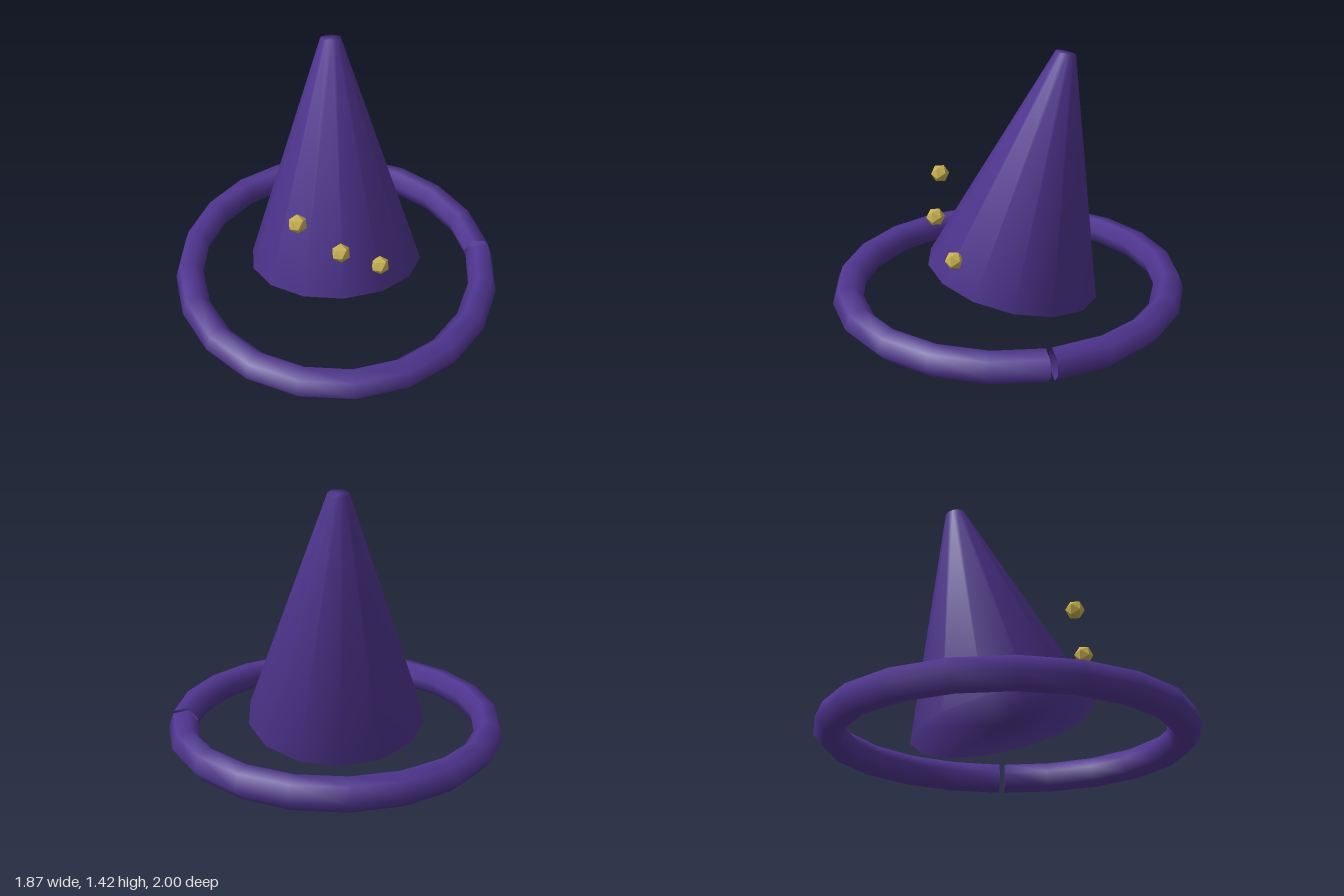
import * as THREE from 'three';
import { mergeVertices } from 'three/addons/utils/BufferGeometryUtils.js';

// Weld all corners so shading runs smoothly over every edge
function smooth(geometry) {
  geometry.deleteAttribute('normal');
  geometry.deleteAttribute('uv');
  const welded = mergeVertices(geometry, 1e-4);
  welded.computeVertexNormals();
  return welded;
}

export function createModel() {
  const group = new THREE.Group();
  const purple = new THREE.MeshStandardMaterial({ color: 0x4f3590, side: THREE.DoubleSide });
  const gold = new THREE.MeshStandardMaterial({ color: 0xc8b04c, flatShading: true });

  const add = (name, geometry, material, x, y, z) => {
    const mesh = new THREE.Mesh(geometry, material);
    mesh.name = name;
    mesh.position.set(x, y, z);
    group.add(mesh);
    return mesh;
  };

  // Cone leaning backwards, with a small blunt tip
  const cone = add('hatCone', smooth(new THREE.CylinderGeometry(0.056, 0.495, 1.306, 14, 1)),
    purple, 0, 0.772, -0.163);
  cone.rotation.x = -0.22;

  // Brim: six-sided tube swept round an oval, with a narrow split on the left
  const profile = [];
  for (let i = 0; i <= 6; i++) {
    const a = (i % 6) * Math.PI / 3 - 0.17;
    profile.push(new THREE.Vector2(0.885 + 0.084 * Math.cos(a), 0.084 * Math.sin(a)));
  }
  const gap = 0.035;
  const ring = new THREE.LatheGeometry(profile, 20, Math.PI / 2 + gap, Math.PI * 2 - gap);
  ring.scale(0.965, 1, 1.033);
  add('brimRing', smooth(ring), purple, 0, 0.08, 0);

  // Three faceted beads floating in a diagonal row before the cone
  const bead = new THREE.IcosahedronGeometry(0.052, 0);
  bead.rotateX(Math.atan(2 / (1 + Math.sqrt(5))));
  for (let i = -1; i <= 1; i++) {
    add('bead' + (i + 2), bead, gold, -0.01 + 0.22 * i, 0.527 - 0.163 * i, i ? 0.347 : 0.41);
  }

  return group;
}
